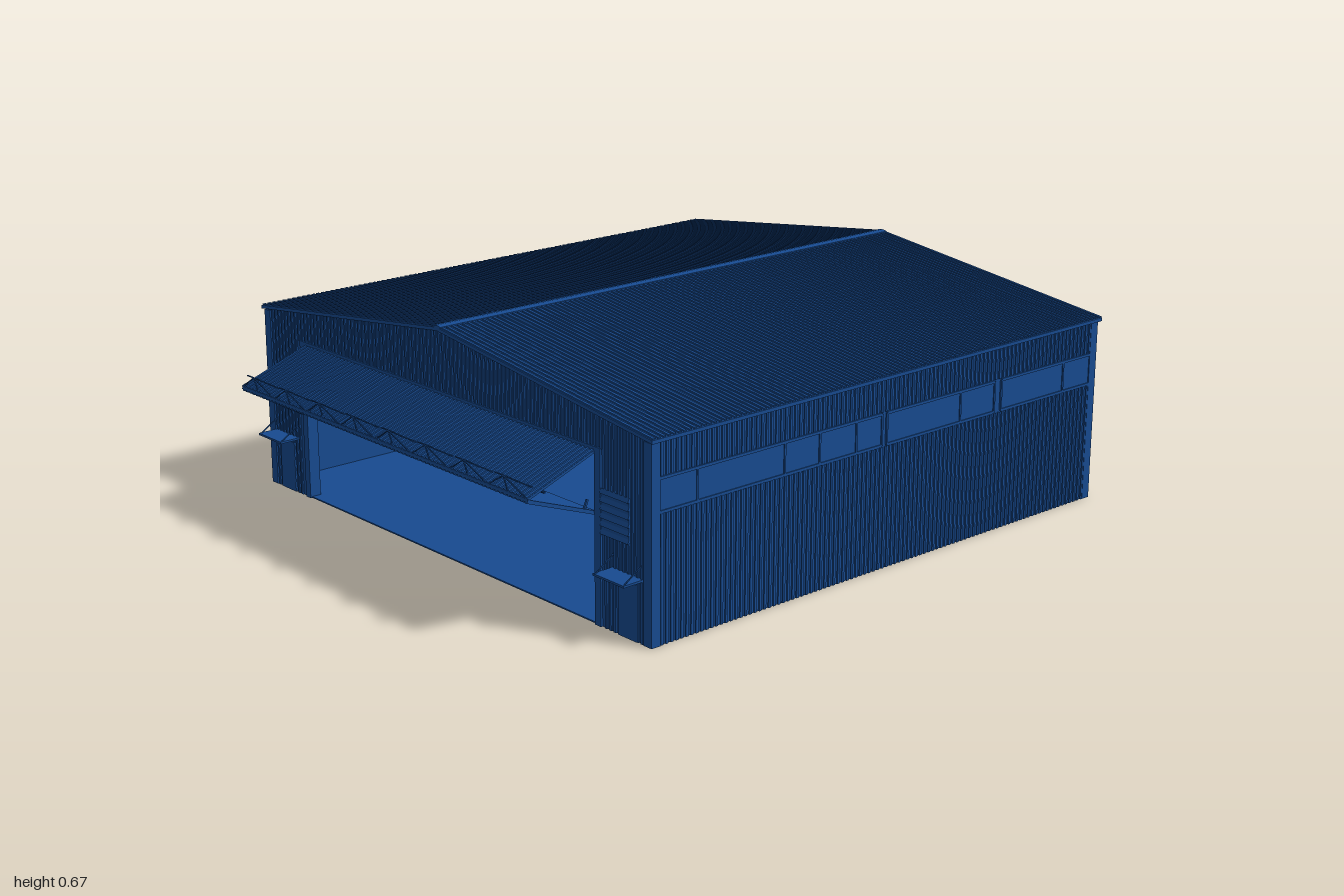
import * as THREE from 'three';
import { mergeGeometries } from 'three/addons/utils/BufferGeometryUtils.js';

const W = 0.87, BACK = -0.985, FRONT = 0.762, T = 0.014;
const DOOR_L = -0.665, DOOR_R = 0.655, DOOR_TOP = 0.475;
const roofY = (x) => 0.658 - Math.abs(x) * 0.125;

export function createModel() {
  const model = new THREE.Group();
  const blue = new THREE.MeshStandardMaterial({ color: 0x174a90 });

  const add = (name, geometry, parent = model) => {
    const mesh = new THREE.Mesh(geometry, blue);
    mesh.name = name;
    parent.add(mesh);
    return mesh;
  };
  // Box given by its two opposite corners
  const span = (x0, x1, y0, y1, z0, z1) =>
    new THREE.BoxGeometry(x1 - x0, y1 - y0, z1 - z0)
      .translate((x0 + x1) / 2, (y0 + y1) / 2, (z0 + z1) / 2);
  // Square bar between two points
  const bar = (a, b, t) => {
    const p = new THREE.Vector3(...a), q = new THREE.Vector3(...b);
    const g = new THREE.BoxGeometry(t, t, p.distanceTo(q));
    const m = new THREE.Matrix4().lookAt(q, p, new THREE.Vector3(0.01, 1, 0));
    return g.applyMatrix4(m.setPosition(p.add(q).multiplyScalar(0.5)));
  };
  const extrude = (shape, depth, z) =>
    new THREE.ExtrudeGeometry(shape, { depth, bevelEnabled: false }).translate(0, 0, z);
  const poly = (pts) => new THREE.Shape(pts.map((p) => new THREE.Vector2(...p)));

  // Floor slab
  add('floor', span(-W, W, 0, 0.004, BACK, FRONT));

  // Gable walls, the front one cut out for the hangar door
  const gableTop = [[W, 0], [W, roofY(W)], [0, roofY(0)], [-W, roofY(W)], [-W, 0]];
  add('backWall', extrude(poly(gableTop), T, BACK));
  add('frontWall', extrude(poly([...gableTop, [DOOR_L, 0], [DOOR_L, DOOR_TOP],
    [DOOR_R, DOOR_TOP], [DOOR_R, 0]]), T, FRONT - T));

  // Vertical cladding ribs on the gables
  const backRibs = [], frontRibs = [];
  const pitch = 0.0174;
  for (let i = -49; i <= 49; i++) {
    const x = i * pitch, top = roofY(x) - 0.002;
    const inDoor = x > DOOR_L - 0.04 && x < DOOR_R + 0.04;
    backRibs.push(span(x - 0.004, x + 0.004, 0, top, BACK - 0.004, BACK));
    frontRibs.push(span(x - 0.004, x + 0.004, inDoor ? DOOR_TOP + 0.01 : 0, top, FRONT, FRONT + 0.004));
  }
  add('backCladding', mergeGeometries(backRibs));
  add('frontCladding', mergeGeometries(frontRibs));

  // Side walls with cladding ribs and a high band of windows
  const groups = [[-0.97, -0.565], [-0.535, -0.09], [-0.07, 0.74]];
  const mullions = [-0.84, -0.39, 0.03, 0.17, 0.3, 0.61];
  for (const s of [-1, 1]) {
    const side = new THREE.Group();
    side.name = s > 0 ? 'leftSide' : 'rightSide';
    model.add(side);
    const box = (x0, x1, ...r) => span(Math.min(s * x0, s * x1), Math.max(s * x0, s * x1), ...r);
    add('sideWall', box(W - T, W, 0, roofY(W), BACK, FRONT), side);
    const ribs = [];
    for (let z = BACK + 0.01; z < FRONT; z += pitch) {
      ribs.push(box(W, W + 0.004, 0, 0.355, z - 0.004, z + 0.004));
      ribs.push(box(W, W + 0.004, 0.455, roofY(W), z - 0.004, z + 0.004));
    }
    add('sideCladding', mergeGeometries(ribs), side);
    const frames = [];
    for (const [z0, z1] of groups) {
      add('windowGlass', box(W - T - 0.002, W + 0.002, 0.36, 0.45, z0, z1), side);
      for (const y of [0.36, 0.45]) frames.push(box(W, W + 0.005, y - 0.004, y + 0.004, z0, z1));
      for (const z of [z0, z1]) frames.push(box(W, W + 0.005, 0.36, 0.45, z - 0.003, z + 0.003));
    }
    for (const z of mullions) frames.push(box(W, W + 0.005, 0.36, 0.45, z - 0.003, z + 0.003));
    add('windowFrames', mergeGeometries(frames), side);

    // Corner trims
    for (const [z0, z1] of [[BACK - 0.005, BACK + 0.025], [FRONT - 0.025, FRONT + 0.005]])
      add('cornerTrim', box(W - 0.025, W + 0.005, 0, roofY(W) - 0.003, z0, z1), side);

    // Louvred vent beside the hangar door
    const vent = [box(0.68, 0.79, 0.26, 0.38, FRONT, FRONT + 0.005)];
    for (let i = 0; i < 6; i++) {
      const y = 0.265 + i * 0.022;
      vent.push(new THREE.BoxGeometry(0.11, 0.014, 0.003).rotateX(-0.4)
        .translate(s * 0.735, y, FRONT + 0.006));
    }
    add('louvreVent', mergeGeometries(vent), side);

    // Personnel door under a small canopy with stays
    add('personnelDoor', box(0.745, 0.815, 0, 0.155, FRONT, FRONT + 0.005), side);
    const canopy = [box(0.72, 0.84, 0.171, 0.177, FRONT, 0.83)];
    for (const x of [0.725, 0.835])
      canopy.push(bar([s * x, 0.176, 0.825], [s * x, 0.215, FRONT], 0.003));
    add('canopy', mergeGeometries(canopy), side);
  }

  // Roof sheet: shallow chevron running the full depth
  const E = 0.883, RZ0 = -0.998, RZ1 = 0.772;
  add('roof', extrude(poly([[-E, roofY(E)], [0, roofY(0)], [E, roofY(E)],
    [E, roofY(E) + 0.01], [0, roofY(0) + 0.01], [-E, roofY(E) + 0.01]]), RZ1 - RZ0, RZ0));
  const roofRibs = [], slope = Math.atan(0.125);
  for (const s of [-1, 1])
    for (let z = RZ0 + 0.005; z < RZ1; z += pitch)
      roofRibs.push(new THREE.BoxGeometry(E / Math.cos(slope) - 0.016, 0.005, 0.008)
        .rotateZ(-s * slope).translate(s * (E / 2 + 0.006), roofY(E / 2 + 0.006) + 0.0115, z));
  add('roofRibs', mergeGeometries(roofRibs));
  add('ridgeCap', extrude(poly([[-0.018, 0.667], [0.018, 0.667], [0.018, 0.671],
    [0, 0.674], [-0.018, 0.671]]), RZ1 - RZ0, RZ0));

  // Interior columns and rails along the back wall
  const frame = [];
  const inner = BACK + T;
  for (const x of [-0.43, 0, 0.43])
    frame.push(span(x - 0.012, x + 0.012, 0, roofY(x) - 0.01, inner, inner + 0.025));
  for (const y of [0.02, 0.185, 0.35])
    frame.push(span(-W + T, W - T, y - 0.006, y + 0.006, inner, inner + 0.015));
  add('interiorFraming', mergeGeometries(frame));

  // Trim around the hangar door opening
  add('doorTrim', mergeGeometries([
    span(DOOR_L - 0.024, DOOR_L, 0, DOOR_TOP + 0.012, FRONT - 0.03, FRONT + 0.006),
    span(DOOR_R, DOOR_R + 0.024, 0, DOOR_TOP + 0.012, FRONT - 0.03, FRONT + 0.006),
    span(DOOR_L, DOOR_R, DOOR_TOP, DOOR_TOP + 0.012, FRONT - 0.03, FRONT + 0.006)]));

  // Folding door, half open: two ribbed leaves meeting at the outer hinge
  const door = new THREE.Group();
  door.name = 'foldingDoor';
  model.add(door);
  const width = DOOR_R - DOOR_L, midX = (DOOR_L + DOOR_R) / 2;
  const leaf = (name, [z0, y0], [z1, y1], face) => {
    const len = Math.hypot(z1 - z0, y1 - y0);
    const parts = [new THREE.BoxGeometry(width, 0.007, len)];
    for (let x = -width / 2 + 0.01; x < width / 2; x += pitch)
      parts.push(new THREE.BoxGeometry(0.008, 0.004, len).translate(x, face * 0.005, 0));
    const mesh = add(name, mergeGeometries(parts), door);
    mesh.rotation.x = -Math.atan2(y1 - y0, z1 - z0);
    mesh.position.set(midX, (y0 + y1) / 2, (z0 + z1) / 2);
  };
  leaf('upperLeaf', [FRONT, 0.474], [0.985, 0.393], 1);
  leaf('lowerLeaf', [FRONT, 0.308], [0.985, 0.39], -1);

  // Stiffening truss along the hinge
  const hinge = [0.392, 0.982], crest = [0.44, 0.996], rear = [0.4, 0.93];
  const truss = [
    bar([DOOR_L, ...hinge], [DOOR_R, ...hinge], 0.006),
    bar([DOOR_L, ...rear], [DOOR_R, ...rear], 0.005)];
  const bays = 8, step = width / bays;
  for (let i = 0; i < bays; i++) {
    const x = DOOR_L + i * step, m = x + step / 2;
    for (const foot of [hinge, rear])
      for (const fx of [x, m, x + step]) truss.push(bar([fx, ...foot], [m, ...crest], 0.003));
    truss.push(bar([m - step * 0.2, ...crest], [m + step * 0.2, ...crest], 0.003));
  }
  add('hingeTruss', mergeGeometries(truss), door);

  // Guide brackets on the lower leaf
  for (const x of [DOOR_L + 0.01, DOOR_R - 0.01])
    add('guideBracket', bar([x, 0.315, 0.795], [x, 0.345, 0.783], 0.006), door);

  return model;
}
